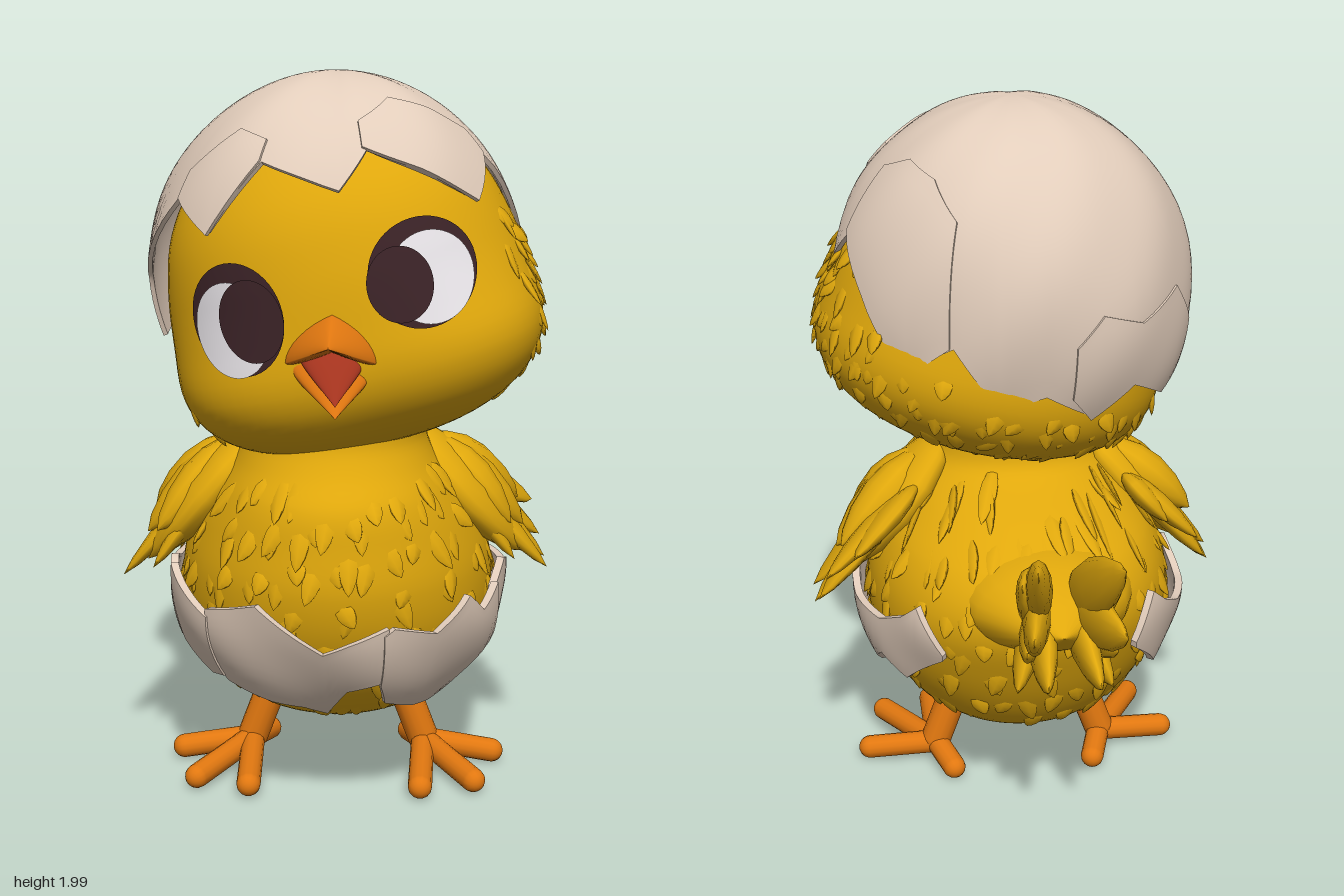
import * as THREE from 'three';
import { mergeGeometries, toCreasedNormals } from 'three/addons/utils/BufferGeometryUtils.js';

const V = (x, y, z) => new THREE.Vector3(x, y, z);
const mat = (name, color, side = THREE.FrontSide) => {
  const m = new THREE.MeshStandardMaterial({ color, side });
  m.name = name;
  return m;
};

// Cross-sections: [y, half width, centre z, half depth]
const BODY = [[0.18, 0.02, 0.05, 0.02], [0.2, 0.16, 0.04, 0.16], [0.25, 0.265, 0.05, 0.28], [0.35, 0.365, 0.065, 0.39],
  [0.5, 0.43, 0.07, 0.48], [0.65, 0.435, 0.065, 0.525], [0.78, 0.395, 0.085, 0.495], [0.88, 0.33, 0.15, 0.41],
  [0.96, 0.275, 0.2, 0.3], [1.03, 0.25, 0.2, 0.265], [1.12, 0.26, 0.2, 0.26]];
const HEAD = [[-0.43, 0.01], [-0.415, 0.18], [-0.36, 0.35], [-0.28, 0.455], [-0.18, 0.5], [-0.05, 0.495], [0.1, 0.475],
  [0.25, 0.425], [0.38, 0.325], [0.47, 0.2], [0.52, 0.01]].map(([y, w]) => [y, w, 0, w * 0.95]);
// Roundness of the front half: the head has full cheeks
const bodyPower = () => 2;
const headPower = (y) => 2.08 + 0.5 * THREE.MathUtils.smoothstep(-y, -0.08, 0.2);

// Smooth interpolation of the cross-sections at height y
function sample(rows, y) {
  let i = 0;
  while (i < rows.length - 2 && y > rows[i + 1][0]) i++;
  const a = rows[i], b = rows[i + 1], p = rows[Math.max(i - 1, 0)], n = rows[Math.min(i + 2, rows.length - 1)];
  const h = b[0] - a[0], t = (y - a[0]) / h;
  return [1, 2, 3].map((k) => {
    const m0 = (b[k] - p[k]) / (b[0] - p[0]) * h, m1 = (n[k] - a[k]) / (n[0] - a[0]) * h;
    return a[k] * (1 + 2 * t) * (1 - t) ** 2 + m0 * t * (1 - t) ** 2 + b[k] * t * t * (3 - 2 * t) + m1 * t * t * (t - 1);
  });
}

// Point on a lofted surface; angle runs from +z towards +x
function surface(rows, power, angle, y, off = 0) {
  const [w, zc, d] = sample(rows, y), e = 2 / (Math.cos(angle) > 0 ? power(y) : 2.04);
  const s = (v) => Math.sign(v) * Math.abs(v) ** e;
  return V((w + off) * s(Math.sin(angle)), y, zc + (d + off) * s(Math.cos(angle)));
}

function loft(rows, power) {
  const pos = [], idx = [], n = 72, ys = [];
  rows.slice(1).forEach((r, i) => { for (let k = 0; k < 5; k++) ys.push(rows[i][0] + (r[0] - rows[i][0]) * k / 5); });
  ys.push(rows[rows.length - 1][0]);
  ys.forEach((y, j) => {
    for (let i = 0; i < n; i++) {
      pos.push(...surface(rows, power, i / n * Math.PI * 2, y).toArray());
      if (j === ys.length - 1) continue;
      const a = j * n + i, b = j * n + (i + 1) % n;
      idx.push(a, b, b + n, a, b + n, a + n);
    }
  });
  const g = new THREE.BufferGeometry();
  g.setAttribute('position', new THREE.Float32BufferAttribute(pos, 3));
  g.setIndex(idx);
  g.computeVertexNormals();
  return g;
}

// Thick curved shell plate with jagged edges; pts are [angle, low, high]
function plate(point, pts, out, thick, rowsN = 10) {
  const pos = [], idx = [], cols = [], m = 2 * (rowsN + 1);
  pts.slice(1).forEach((b, i) => { for (let k = 0; k < 5; k++) cols.push(pts[i].map((v, c) => v + (b[c] - v) * k / 5)); });
  cols.push(pts[pts.length - 1]);
  cols.forEach(([a, lo, hi], i) => {
    for (let j = 0; j < m; j++) {
      const inner = j > rowsN, t = (inner ? m - 1 - j : j) / rowsN;
      pos.push(...point(a, lo + (hi - lo) * t, out - (inner ? thick : 0)).toArray());
      if (i === cols.length - 1) continue;
      const p = i * m + j, q = i * m + (j + 1) % m;
      idx.push(p, p + m, q + m, p, q + m, q);
    }
  });
  for (const s of [0, (cols.length - 1) * m])
    for (let j = 0; j < rowsN; j++) idx.push(s + j, s + j + 1, s + m - 2 - j, s + j, s + m - 2 - j, s + m - 1 - j);
  const g = new THREE.BufferGeometry();
  g.setAttribute('position', new THREE.Float32BufferAttribute(pos, 3));
  g.setIndex(idx);
  return toCreasedNormals(g, 0.7);
}

// Pointed, flattened feather from one point to another
function feather(from, to, width, thick, hint, sides = 12) {
  const profile = [[0, 0], [0.6, 0.1], [0.92, 0.28], [1, 0.48], [0.8, 0.7], [0.42, 0.89], [0, 1]];
  const g = new THREE.LatheGeometry(profile.map(([x, y]) => new THREE.Vector2(x, y)), sides);
  const dir = to.clone().sub(from), y = dir.clone().normalize();
  const x = y.clone().cross(hint).normalize(), z = x.clone().cross(y);
  const m = new THREE.Matrix4().makeBasis(x.multiplyScalar(width), dir, z.multiplyScalar(thick)).setPosition(from);
  return g.applyMatrix4(m);
}

// Small downy tufts scattered over a lofted surface
function tufts(rows, power, count, y0, y1, size, keep) {
  const list = [];
  for (let i = 0; i < count; i++) {
    const a = (i * 2.39996) % (Math.PI * 2), y = y0 + (y1 - y0) * ((i * 0.7548) % 1);
    if (!keep(a, y)) continue;
    const len = size * (1 + 0.3 * Math.sin(i * 5));
    const p = surface(rows, power, a, y, -0.014);
    const q = surface(rows, power, a + 0.09 * Math.sin(i * 7), Math.max(y - len, rows[0][0] + 0.005), 0.012 + 0.008 * Math.sin(i * 3));
    list.push(feather(p, q, size * 0.3, 0.009, V(Math.sin(a), 0, Math.cos(a)), 6));
  }
  return mergeGeometries(list);
}

export function createModel() {
  const model = new THREE.Group();
  model.name = 'hatchling';
  const yellow = mat('yellow down', 0xe0a80c), cream = mat('cream eggshell', 0xe2cdbb, THREE.DoubleSide);
  const orange = mat('orange skin', 0xe27810), red = mat('red mouth', 0xa6341e);
  const dark = mat('dark brown eye', 0x3a2226), white = mat('eye white', 0xeeeaee);
  const add = (parent, name, geo, m) => {
    const mesh = new THREE.Mesh(geo, m);
    mesh.name = name;
    parent.add(mesh);
    return mesh;
  };

  // Body and down
  add(model, 'body', loft(BODY, bodyPower), yellow);
  add(model, 'bodyDown', tufts(BODY, bodyPower, 260, 0.3, 0.98, 0.095, () => true), yellow);

  // Head, tilted to one side
  const head = new THREE.Group();
  head.name = 'head';
  head.position.set(0.03, 1.42, 0.165);
  head.rotation.z = 0.25;
  model.add(head);
  add(head, 'skull', loft(HEAD, headPower), yellow);
  add(head, 'headDown', tufts(HEAD, headPower, 420, -0.38, 0.15, 0.095, (a, y) =>
    a > 1.15 && a < 5.1 && (a < 2 || y < -0.12 || (a < 2.4 && y < -0.02))), yellow);

  // Eyes: thin discs following the face, [x, y, rx, ry]
  const eyeDisc = (name, [cx, cy, rx, ry], off, m) => {
    const g = new THREE.RingGeometry(0.001, 1, 48, 8), p = g.attributes.position;
    for (let i = 0; i < p.count; i++) {
      const x = cx + p.getX(i) * rx, y = cy + p.getY(i) * ry, [w, , d] = sample(HEAD, y), e = headPower(y);
      p.setXYZ(i, x, y, d * (1 - Math.abs(x / w) ** e) ** (1 / e) + off);
    }
    g.computeVertexNormals();
    add(head, name, g, m);
  };
  eyeDisc('leftEyeRim', [0.218, 0.04, 0.137, 0.135], 0.006, dark);
  eyeDisc('leftEyeWhite', [0.236, 0.024, 0.108, 0.114], 0.01, white);
  eyeDisc('leftPupil', [0.157, 0.028, 0.083, 0.094], 0.014, dark);
  eyeDisc('rightEyeRim', [-0.265, 0.033, 0.122, 0.142], 0.006, dark);
  eyeDisc('rightEyeWhite', [-0.284, 0.01, 0.097, 0.12], 0.01, white);
  eyeDisc('rightPupil', [-0.228, 0.024, 0.084, 0.104], 0.014, dark);

  // Open beak: flattened cones, the upper one arched over the mouth
  const beakCone = (name, from, to, [w, up, down, arch], m) => {
    const g = new THREE.ConeGeometry(1, 1, 32, 8).rotateX(Math.PI / 2).translate(0, 0, 0.5), p = g.attributes.position;
    for (let i = 0; i < p.count; i++) {
      const k = 1 + 0.45 * p.getZ(i) * (1 - p.getZ(i)), x = p.getX(i) * w * k, y = p.getY(i);
      p.setXY(i, x, y * (y > 0 ? up : down) * k - arch * Math.abs(x));
    }
    const d = to.clone().sub(from);
    g.scale(1, 1, d.length());
    g.computeVertexNormals();
    const mesh = add(model, name, g, m);
    mesh.position.copy(from);
    mesh.lookAt(to);
  };
  beakCone('upperBeak', V(0.008, 1.335, 0.59), V(0.005, 1.356, 0.81), [0.13, 0.085, 0.025, 0.42], orange);
  beakCone('lowerBeak', V(0.01, 1.285, 0.6), V(0.018, 1.163, 0.71), [0.118, 0.035, 0.065, 0], orange);
  beakCone('mouth', V(0.01, 1.31, 0.61), V(0.018, 1.195, 0.718), [0.092, 0.03, 0.025, 0], red);

  // Eggshell cap; rim heights by angle
  const polar = (y) => Math.acos(Math.min(1, (y - 1.45) / 0.545));
  const capPoint = (a, phi, off) => {
    const s = Math.sin(phi), c = Math.cos(phi), brow = 0.04 * Math.max(0, Math.cos(a)) * Math.abs(Math.sin(2 * a));
    const r = 1 + off + s * (brow + 0.007 * Math.sin(4 * a + 5 * c) + 0.005 * Math.sin(9 * a - 7 * c));
    return V(0.51 * r * s * Math.sin(a), 1.45 + 0.545 * r * c, 0.145 + 0.487 * r * s * Math.cos(a));
  };
  const rim = [[0.05, 1.71], [0.24, 1.81], [0.6, 1.74], [0.9, 1.68], [1.22, 1.78], [1.63, 1.57], [1.9, 1.69], [2.43, 1.35],
    [2.7, 1.42], [2.95, 1.24], [3.2, 1.28], [3.5, 1.2], [3.75, 1.29], [4.1, 1.22], [4.4, 1.3], [4.68, 1.27], [4.8, 1.44],
    [4.93, 1.5], [5.28, 1.67], [5.61, 1.6], [5.86, 1.77], [0.05 + Math.PI * 2, 1.71]];
  add(model, 'shellCap', plate(capPoint, rim.map(([a, y]) => [a, polar(y), 0.001]), 0, 0.025, 20), cream);
  // Raised broken pieces on the cap
  [[[1.8, 1.66, 1.83], [2.1, 1.52, 1.86], [2.43, 1.33, 1.83], [2.68, 1.42, 1.74]],
    [[0.2, 1.81, 1.87], [0.55, 1.75, 1.92], [0.9, 1.67, 1.89], [1.2, 1.78, 1.84]],
    [[3.35, 1.27, 1.42], [3.5, 1.19, 1.5], [3.75, 1.28, 1.46], [4.1, 1.21, 1.52], [4.3, 1.28, 1.4]],
    [[5.3, 1.67, 1.74], [5.61, 1.59, 1.84], [5.85, 1.77, 1.82]],
  ].forEach((s) => add(model, 'capShard', plate(capPoint, s.map(([a, l, h]) => [a, polar(l), polar(h)]), 0.012, 0.02), cream));

  // Broken eggshell around the belly
  const bellyPoint = (a, y, off) => surface(BODY, bodyPower, a, y, off + 0.006 * Math.sin(7 * a + 14 * y));
  const side = [[1.2, 0.45, 0.6], [1.42, 0.41, 0.65], [1.72, 0.37, 0.6], [2.04, 0.48, 0.6], [2.24, 0.43, 0.65],
    [2.36, 0.48, 0.7], [2.56, 0.56, 0.58]];
  [side,
    [[0.3, 0.4, 0.56], [0.36, 0.33, 0.58], [0.62, 0.29, 0.545], [0.85, 0.28, 0.63], [0.98, 0.36, 0.57], [1.22, 0.46, 0.61]],
    [[-0.78, 0.36, 0.59], [-0.6, 0.34, 0.61], [-0.43, 0.32, 0.635], [-0.2, 0.31, 0.56], [-0.04, 0.28, 0.51], [0.1, 0.38, 0.54],
      [0.33, 0.41, 0.58]],
    [[-1.2, 0.43, 0.66], [-0.95, 0.36, 0.61], [-0.76, 0.38, 0.57]],
    side.map(([a, l, h]) => [-a, l, h]).reverse(),
  ].forEach((s, i) => add(model, 'bellyShell', plate(bellyPoint, s, 0.042 + (i % 2) * 0.006, 0.022), cream));

  // Wings: a broad shoulder with a fan of feathers; the right one swings forward
  for (const s of [1, -1]) {
    const dz = s > 0 ? 0 : 0.12, tuck = s > 0 ? 0 : 0.018, hint = V(s, 0.65, 0);
    const list = [feather(V(s * 0.2, 1.02, 0.12), V(s * 0.53, 0.64, 0.05 + dz), 0.18, 0.075, hint, 20)];
    [[0.5, 0.65, 0.17], [0.6, 0.595, 0.06], [0.6, 0.595, -0.05], [0.59, 0.64, -0.13], [0.57, 0.73, -0.19], [0.49, 0.8, -0.22]]
      .forEach(([x, y, z], i) => list.push(
        feather(V(s * 0.3, 0.92, 0.1 - i * 0.02), V(s * (x - tuck * Math.max(i - 1, 0)), y, z + dz), 0.085, 0.032, hint)));
    [[0.49, 0.75, 0.15], [0.53, 0.72, 0.05], [0.52, 0.77, -0.06]]
      .forEach(([x, y, z]) => list.push(feather(V(s * 0.27, 0.98, 0.1), V(s * x, y, z + dz), 0.085, 0.065, hint)));
    add(model, s > 0 ? 'leftWing' : 'rightWing', mergeGeometries(list), yellow);
  }

  // Tail: rump and two fans of upswept feathers
  const tail = [feather(V(-0.02, 0.68, 0), V(-0.03, 0.72, -0.61), 0.26, 0.15, V(0, 1, 0), 24)];
  for (const s of [1, -1]) {
    [[0.11, 1.0, -0.8], [0.12, 0.81, -0.8], [0.07, 0.63, -0.73], [0.13, 0.9, -0.66], [0.12, 0.71, -0.68], [0.13, 0.55, -0.58]]
      .forEach(([x, y, z]) => tail.push(feather(V(-0.04 + s * 0.04, 0.7, -0.36), V(-0.04 + s * x, y, z), 0.082, 0.038, V(s, 0.1, 0))));
  }
  add(model, 'tail', mergeGeometries(tail), yellow);

  // Legs and toes
  for (const s of [1, -1]) {
    const foot = new THREE.Group();
    foot.name = s > 0 ? 'leftFoot' : 'rightFoot';
    model.add(foot);
    const limb = (name, a, b, r) => {
      const d = b.clone().sub(a), mesh = add(foot, name, new THREE.CapsuleGeometry(r, d.length(), 6, 14), orange);
      mesh.position.copy(a).addScaledVector(d, 0.5);
      mesh.quaternion.setFromUnitVectors(V(0, 1, 0), d.normalize());
    };
    const ankle = V(s * 0.25, 0.065, 0.035);
    limb('leg', V(s * 0.185, 0.24, 0.04), ankle, 0.045);
    [[-0.01, 0.3], [0.14, 0.25], [0.2, 0.03], [-0.04, -0.12]]
      .forEach(([x, z]) => limb('toe', V(s * 0.25, 0.055, 0.03), V(s * (0.25 + x), 0.034, 0.03 + z), 0.034));
  }
  return model;
}
